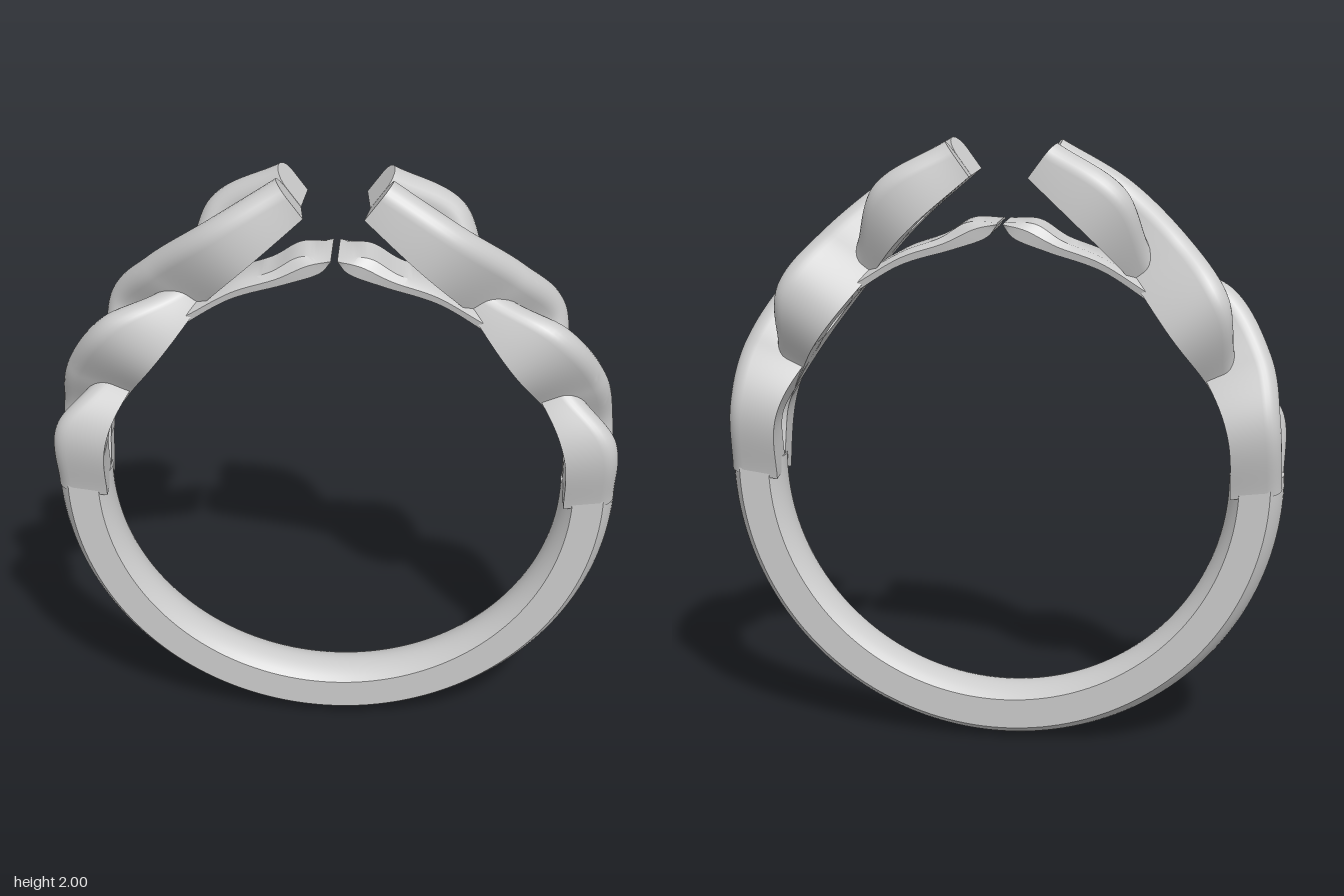
import * as THREE from 'three';
import { toCreasedNormals } from 'three/addons/utils/BufferGeometryUtils.js';

const material = new THREE.MeshStandardMaterial({ color: 0xcccccc });
const CENTRE_Y = 0.92;

// Skin a list of closed rings (Vector3 arrays, equal length) and cap both ends.
// side = -1 mirrors the part in x.
function loft(name, sections, side = 1) {
  const rings = sections.map(r => {
    const m = r.map(p => new THREE.Vector3(p.x * side, p.y, p.z));
    return side < 0 ? m.reverse() : m;
  });
  const n = rings[0].length, last = (rings.length - 1) * n;
  const index = [];
  for (let i = 0; i < rings.length - 1; i++) {
    for (let j = 0; j < n; j++) {
      const a = i * n + j, b = i * n + (j + 1) % n;
      index.push(a, b, b + n, a, b + n, a + n);
    }
  }
  for (let j = 1; j < n - 1; j++) {
    index.push(0, j + 1, j, last, last + j, last + j + 1);
  }
  const geometry = new THREE.BufferGeometry().setFromPoints(rings.flat());
  geometry.setIndex(index);
  const mesh = new THREE.Mesh(toCreasedNormals(geometry, 0.6), material);
  mesh.name = name;
  return mesh;
}

const curve = pts => new THREE.CatmullRomCurve3(pts.map(([x, y, z = 0]) => new THREE.Vector3(x, y, z)));

// Lower half of the ring: flat sides, domed outside and inside
function shank() {
  const sections = [], steps = 96, arc = 10, w = 0.09;
  for (let i = 0; i <= steps; i++) {
    const a = Math.PI - 0.022 + (Math.PI + 0.044) * i / steps;
    const at = (r, z) => new THREE.Vector3(Math.cos(a) * r, CENTRE_Y + Math.sin(a) * r, z);
    const ring = [];
    for (let j = 0; j <= arc; j++) {
      const k = 1 - 2 * j / arc;
      ring.push(at(0.92 - 0.04 * k * k, w * k));
    }
    for (let j = 0; j <= arc; j++) {
      const k = 2 * j / arc - 1;
      ring.push(at(0.742 + 0.038 * k * k, w * k));
    }
    sections.push(ring);
  }
  return loft('shank', sections);
}

// Strand keys from shank to tip: outer ridge, inner floor, sideways offset.
// At the two crossings the strand passing under takes the lower ridge.
const KEYS = [
  { top: [0.915, 0.90], floor: [0.75, 0.88], z: 0.04 },
  { top: [0.905, 1.13], floor: [0.74, 1.09], z: 0.08 },
  { top: [0.865, 1.33], under: [0.76, 1.30], floor: [0.66, 1.25], z: 0 },
  { top: [0.73, 1.53], floor: [0.56, 1.40], z: 0.09 },
  { top: [0.60, 1.695], under: [0.50, 1.63], floor: [0.42, 1.57], z: 0 },
  { top: [0.40, 1.865], floor: [0.28, 1.73], z: 0.095 },
  { top: [0.18, 2.0], floor: [0.10, 1.89], z: 0.057 },
];
const LOBE_SIGN = [-1, -1, 0, 1, 0, -1, -1];

// Twisted strand with a rounded ridge, straight walls and a flat floor
function strand(name, weave, side) {
  const z = KEYS.map((k, i) => k.z * LOBE_SIGN[i] * weave);
  const overAt = weave > 0 ? 2 : 4;
  const top = curve(KEYS.map((k, i) => [...(k.under && i !== overAt ? k.under : k.top), z[i]]));
  const floor = curve(KEYS.map((k, i) => [...k.floor, z[i]]));
  // Uniform splines keep ridge and floor keys in step
  top.curveType = floor.curveType = 'catmullrom';
  const sections = [], steps = 96, arc = 12;
  for (let i = 0; i <= steps; i++) {
    const t = i / steps;
    const T = top.getPoint(t), B = floor.getPoint(t);
    const up = T.clone().sub(B).normalize();
    const S = top.getTangent(t).cross(up).normalize();
    const w = 0.048 + 0.008 * t;
    const ring = [];
    for (let j = 0; j <= arc; j++) {
      const a = Math.PI * (j / arc - 0.5);
      ring.push(T.clone().addScaledVector(up, w * (Math.cos(a) - 1)).addScaledVector(S, w * Math.sin(a)));
    }
    ring.push(B.clone().addScaledVector(S, w), B.clone().addScaledVector(S, -w));
    sections.push(ring);
  }
  return loft(name, sections, side);
}

// Thin inner band reaching from the second crossing to the gap at the top
function innerBand(name, side) {
  const top = curve([[0.45, 1.57], [0.32, 1.645], [0.2, 1.69], [0.11, 1.743], [0.01, 1.745]]);
  const low = curve([[0.49, 1.50], [0.33, 1.60], [0.16, 1.655], [0.05, 1.695], [0.01, 1.738]]);
  top.curveType = low.curveType = 'catmullrom';
  const sections = [], steps = 32;
  for (let i = 0; i <= steps; i++) {
    const T = top.getPoint(i / steps), B = low.getPoint(i / steps);
    const M = T.clone().lerp(B, 0.4);
    const at = (p, z) => new THREE.Vector3(p.x, p.y, z);
    sections.push([at(M, 0.085), at(T, 0.06), at(T, -0.06), at(M, -0.085), at(B, -0.08), at(B, 0.08)]);
  }
  return loft(name, sections, side);
}

export function createModel() {
  const ring = new THREE.Group();
  ring.name = 'ring';
  ring.add(shank());
  for (const [label, side] of [['left', 1], ['right', -1]]) {
    const shoulder = new THREE.Group();
    shoulder.name = label + 'Shoulder';
    shoulder.add(
      strand(label + 'StrandA', 1, side),
      strand(label + 'StrandB', -1, side),
      innerBand(label + 'InnerBand', side),
    );
    ring.add(shoulder);
  }
  return ring;
}
